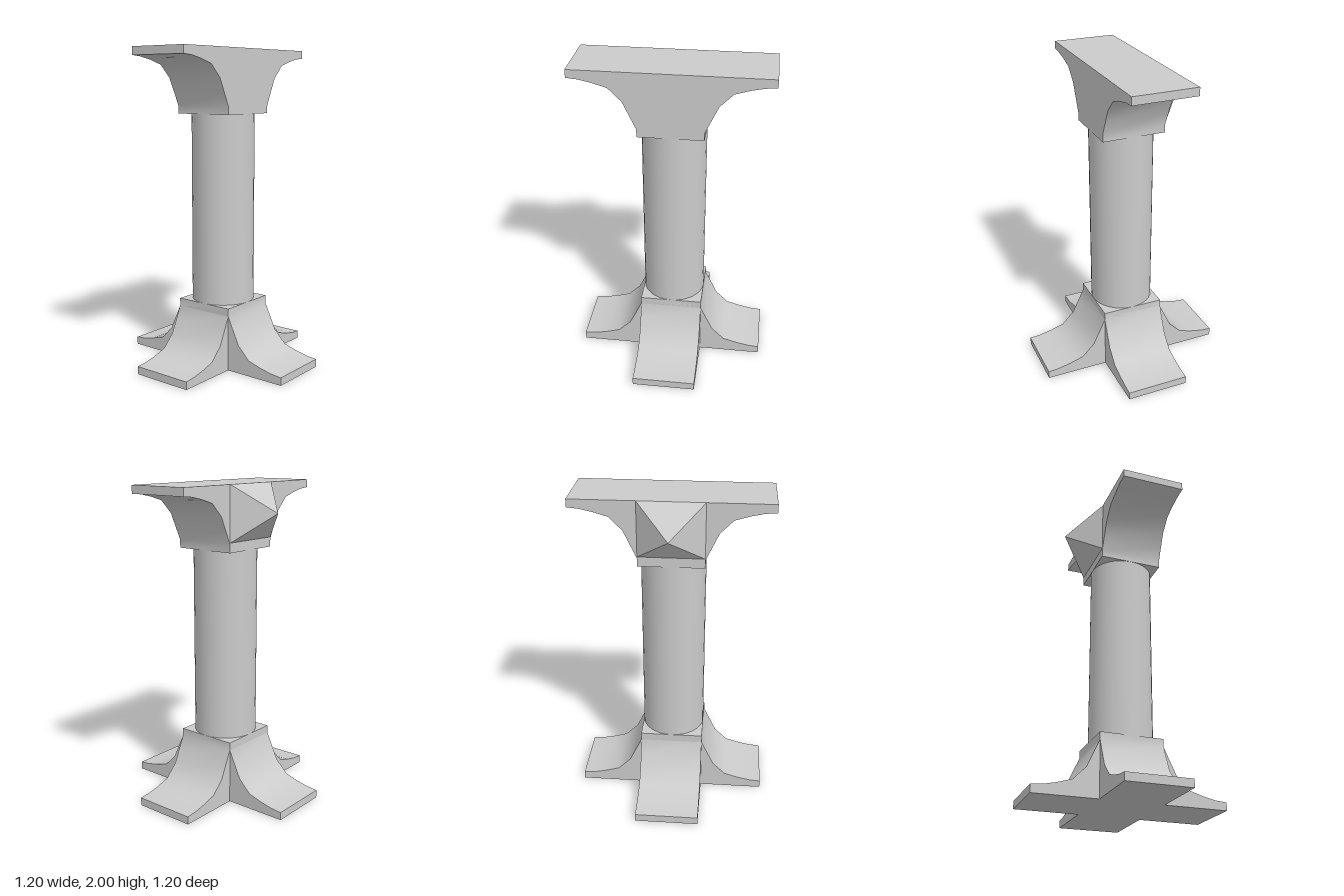
import * as THREE from 'three';
import { toCreasedNormals } from 'three/addons/utils/BufferGeometryUtils.js';

const material = new THREE.MeshStandardMaterial({ color: 0xcccccc });

// Half outline of a flared bar, from the tip of the arm up to the neck
const flare = [[0.6, 0], [0.6, 0.05], [0.53, 0.056], [0.45, 0.073], [0.36, 0.1],
  [0.28, 0.18], [0.24, 0.265], [0.2, 0.35], [0.2, 0.4]];

function flaredBar(name) {
  const mirrored = flare.map(([x, y]) => [-x, y]).reverse();
  const shape = new THREE.Shape([...flare, ...mirrored].map(([x, y]) => new THREE.Vector2(x, y)));
  const geometry = new THREE.ExtrudeGeometry(shape, { depth: 0.4, bevelEnabled: false });
  geometry.translate(0, 0, -0.2);
  const mesh = new THREE.Mesh(toCreasedNormals(geometry, 0.6), material);
  mesh.name = name;
  return mesh;
}

export function createModel() {
  const group = new THREE.Group();
  group.name = 'pillar';

  // Cross-shaped foot: two flared bars at right angles
  const footAcross = flaredBar('footAcross');
  const footAlong = flaredBar('footAlong');
  footAlong.rotation.y = Math.PI / 2;

  // Round column between foot and head
  const column = new THREE.Mesh(new THREE.CylinderGeometry(0.2, 0.2, 1.2, 32), material);
  column.name = 'column';
  column.position.y = 1;

  // Head: the same flared bar turned upside down
  const head = flaredBar('head');
  head.rotation.z = Math.PI;
  head.position.y = 2;

  // Four-sided point on the back of the head
  const point = new THREE.ConeGeometry(0.2 * Math.SQRT2, 0.2, 4);
  point.rotateY(Math.PI / 4).rotateX(-Math.PI / 2).scale(1, 0.85, 1);
  const backPoint = new THREE.Mesh(toCreasedNormals(point, 0.1), material);
  backPoint.name = 'backPoint';
  backPoint.position.set(0, 1.83, -0.3);

  group.add(footAcross, footAlong, column, head, backPoint);
  return group;
}
